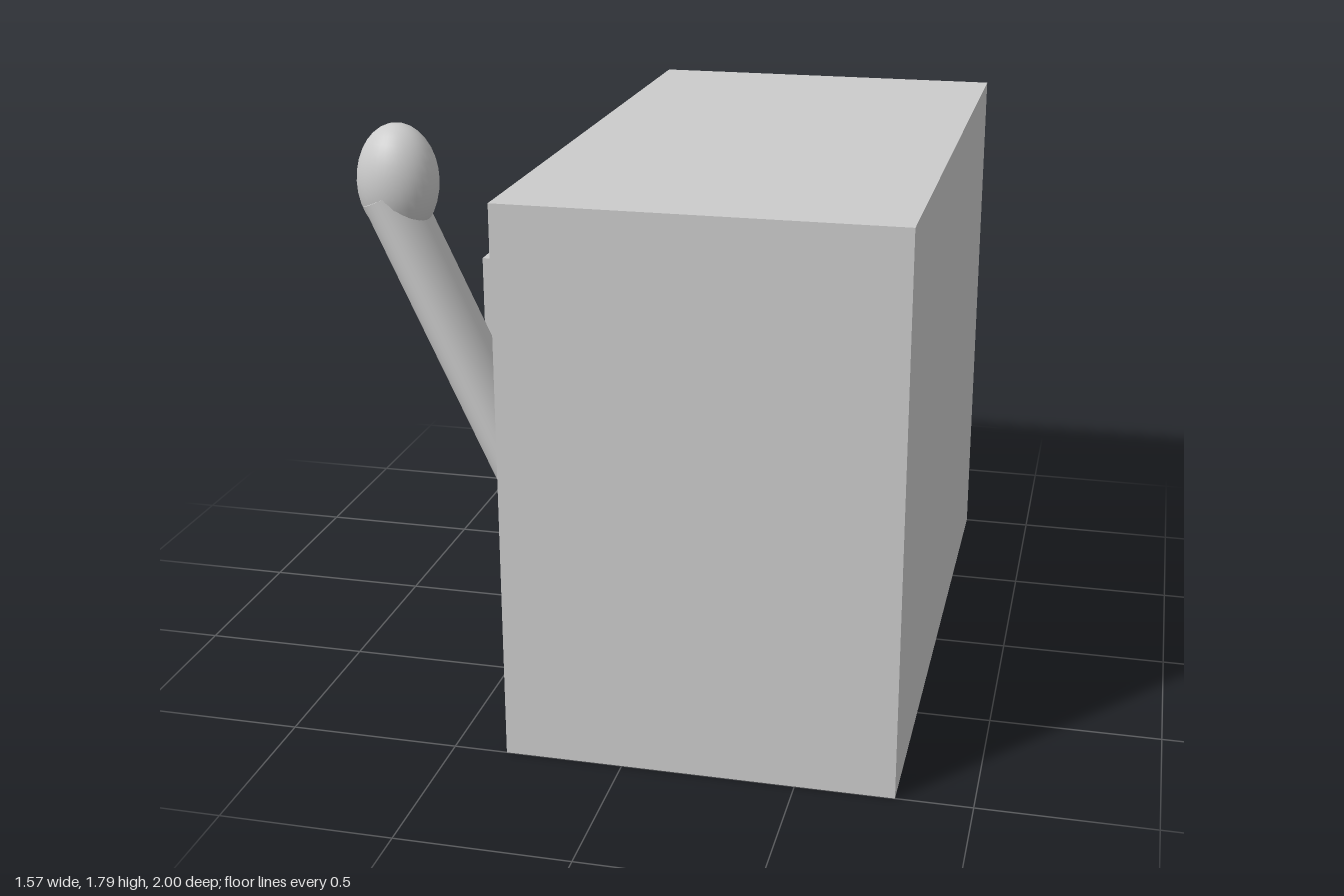
import * as THREE from 'three';

export function createModel() {
  const group = new THREE.Group();
  const material = new THREE.MeshStandardMaterial({ color: 0xcccccc });

  const add = (name, geometry, x, y, z) => {
    const mesh = new THREE.Mesh(geometry, material);
    mesh.name = name;
    mesh.position.set(x, y, z);
    group.add(mesh);
    return mesh;
  };
  // Box given by its limits on each axis
  const box = (name, [x0, x1], [y0, y1], [z0, z1]) =>
    add(name, new THREE.BoxGeometry(x1 - x0, y1 - y0, z1 - z0),
      (x0 + x1) / 2, (y0 + y1) / 2, (z0 + z1) / 2);

  // Cabinet
  const face = -0.343;
  box('cabinet', [face, 0.783], [0, 1.63], [-1, 1]);

  // Three reel blocks in a row on the cabinet's -x face
  [-0.585, -0.103, 0.4].forEach((z, i) =>
    box(`reel${i + 1}`, [-0.517, face + 0.02], [0.725, 1.35], [z - 0.162, z + 0.162]));

  // Long, shallow tray below the reels
  box('tray', [-0.383, face + 0.02], [0.118, 0.453], [-0.7, 0.855]);

  // Slanted oval lever, its lower end buried in the cabinet
  const top = new THREE.Vector3(-0.696, 1.588, 0.796);
  const bottom = new THREE.Vector3(-0.25, 0.626, 0.796);
  const axis = top.clone().sub(bottom);
  const middle = top.clone().add(bottom).multiplyScalar(0.5);
  const lever = add('lever', new THREE.CylinderGeometry(0.074, 0.074, axis.length(), 32),
    middle.x, middle.y, middle.z);
  lever.rotation.z = Math.atan2(-axis.x, axis.y);
  lever.scale.z = 1.5;

  // Egg-shaped knob on the lever
  const knob = add('knob', new THREE.SphereGeometry(1, 32, 16), -0.67, 1.628, 0.798);
  knob.scale.set(0.114, 0.16, 0.107);

  return group;
}
